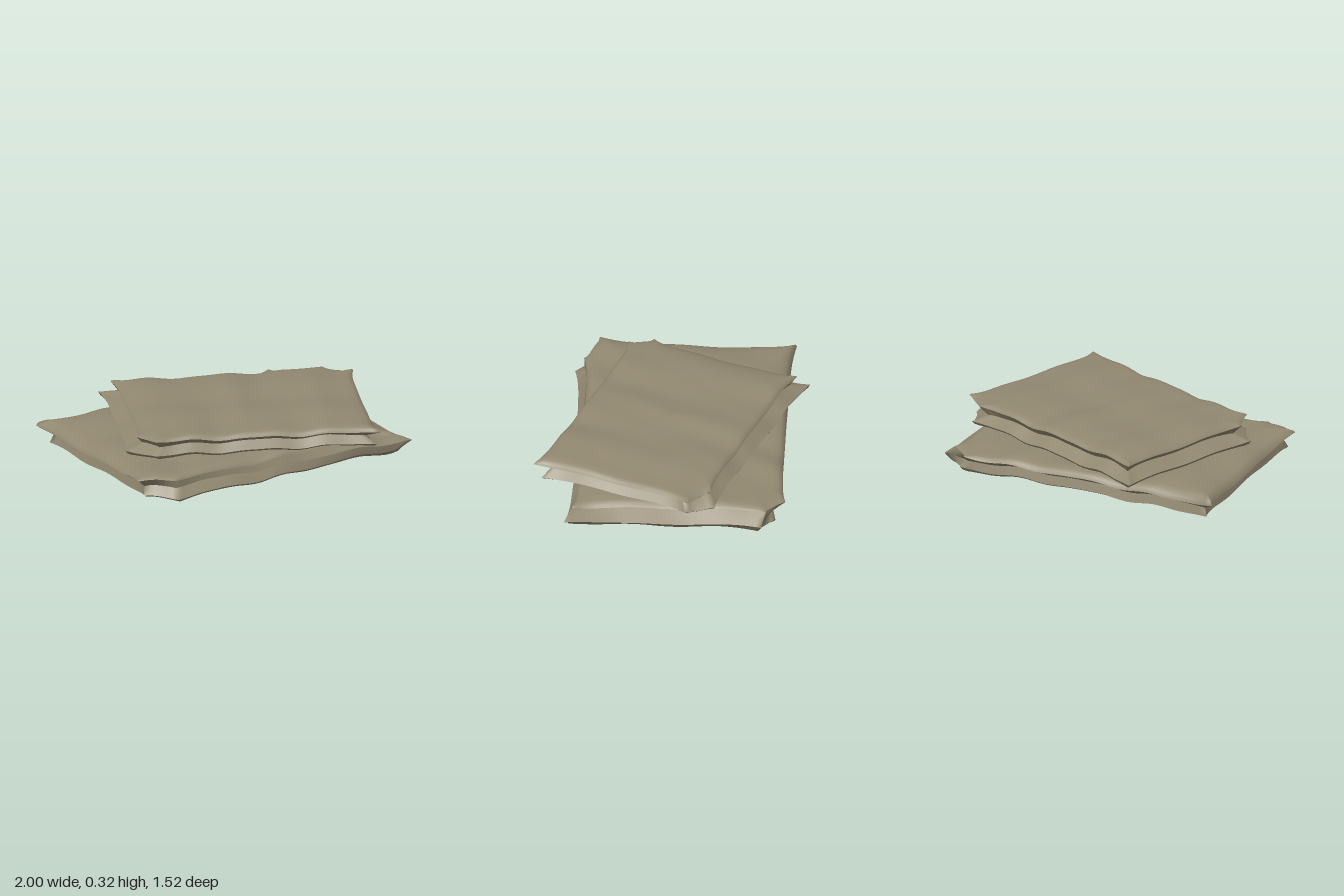
import * as THREE from 'three';

const cloth = new THREE.MeshStandardMaterial({ color: 0x928871 });
cloth.name = 'khaki cloth';

// gentle ripples shared by every layer of a blanket
const ripple = (x, z, phase) =>
  0.007 * Math.cos(14 * x + 2 * z + phase) + 0.004 * Math.sin(13 * z - 4 * x + phase) + 0.003 * Math.sin(23 * x + 9 * z);

// closed outline through six corners [x, y, z], clockwise from above;
// long edges are drawn in and sag a little between their flared corners
function outline(corners, sag, drop) {
  const pts = [];
  corners.forEach((a, i) => {
    const b = corners[(i + 1) % corners.length];
    const dx = b[0] - a[0], dz = b[2] - a[2], len = Math.hypot(dx, dz);
    const long = len > 0.4, n = long ? 36 : 6;
    for (let k = 0; k < n; k++) {
      const t = k / n, bow = (long ? 1 : 0.4) * (1 - Math.abs(2 * t - 1) ** 7);
      pts.push(new THREE.Vector3(
        a[0] + dx * t - (dz / len) * sag * bow,
        a[1] + (b[1] - a[1]) * t - drop * bow,
        a[2] + dz * t + (dx / len) * sag * bow));
    }
  });
  return pts;
}

// shrink an outline towards the middle; y blends to a flat level
function inset(ring, scale, level, blend = 1) {
  const c = ring.reduce((s, p) => s.add(p), new THREE.Vector3()).divideScalar(ring.length);
  return ring.map(p => new THREE.Vector3(
    c.x + (p.x - c.x) * scale, p.y + (level - p.y) * blend, c.z + (p.z - c.z) * scale));
}

const midRing = (a, b) => a.map((p, i) => p.clone().lerp(b[i], 0.5));

// smooth skin through rings listed from the top down
function panel(name, rings, phase) {
  const n = rings[0].length, pos = [], index = [];
  for (const ring of rings)
    for (const p of ring) pos.push(p.x, Math.max(0.001, p.y + ripple(p.x, p.z, phase)), p.z);
  for (let r = 0; r < rings.length - 1; r++)
    for (let j = 0; j < n; j++) {
      const k = (j + 1) % n, a = r * n + j, b = r * n + k, c = a + n, d = b + n;
      index.push(a, d, c, a, b, d);
    }
  const g = new THREE.BufferGeometry();
  g.setAttribute('position', new THREE.Float32BufferAttribute(pos, 3));
  g.setIndex(index);
  g.computeVertexNormals();
  const mesh = new THREE.Mesh(g, cloth);
  mesh.name = name;
  return mesh;
}

const steps = [0, 0.1, 0.2, 0.3, 0.4, 0.5, 0.6, 0.7, 0.8];

// folded cloth: top sheet, pleated sides, bottom sheet
function foldedBlanket(name, o) {
  const group = new THREE.Group();
  group.name = name;
  const top = outline(o.top, o.sag, 0.012), fold = outline(o.fold, o.sag, 0), bottom = outline(o.bottom, o.sag, 0.008);
  const sheet = (ring, level) => [
    ...steps.map(s => inset(ring, s, level)),
    inset(ring, 0.89, level, 0.95), inset(ring, 0.95, level, 0.8), inset(ring, 0.985, level, 0.45), ring];
  group.add(
    panel('topSheet', sheet(top, o.topY), o.phase),
    panel('upperPleat', [top, midRing(top, fold), fold], o.phase),
    panel('lowerPleat', [fold, midRing(fold, bottom), bottom], o.phase),
    panel('bottomSheet', sheet(bottom, o.bottomY).reverse(), o.phase),
  );
  return group;
}

export function createModel() {
  const model = new THREE.Group();
  model.name = 'foldedBlankets';

  // corners: back left, back right (two), front right, front left (two), as seen from above
  // the fold line is a groove at the back and left, and a ridge towards the front right
  model.add(foldedBlanket('lowerBlanket', {
    topY: 0.168, bottomY: 0.014, sag: 0.028, phase: 3.1,
    top: [[-1, 0.115, -0.53], [0.62, 0.15, -0.76], [0.75, 0.152, -0.66], [0.9, 0.145, 0.49], [-0.62, 0.145, 0.695], [-0.835, 0.147, 0.64]],
    fold: [[-0.91, 0.07, -0.47], [0.64, 0.097, -0.69], [0.83, 0.085, -0.65], [1, 0.09, 0.52], [-0.61, 0.097, 0.69], [-0.78, 0.09, 0.6]],
    bottom: [[-0.93, 0.018, -0.48], [0.68, 0.052, -0.71], [0.8, 0.045, -0.63], [0.93, 0.05, 0.51], [-0.62, 0.045, 0.75], [-0.79, 0.04, 0.63]],
  }));

  model.add(foldedBlanket('upperBlanket', {
    topY: 0.312, bottomY: 0.17, sag: 0.025, phase: -1.2,
    top: [[-0.47, 0.297, -0.63], [0.79, 0.295, -0.335], [0.935, 0.288, -0.22], [0.69, 0.285, 0.76], [-0.63, 0.295, 0.425], [-0.69, 0.297, 0.28]],
    fold: [[-0.44, 0.248, -0.59], [0.74, 0.243, -0.315], [0.85, 0.24, -0.19], [0.63, 0.238, 0.66], [-0.585, 0.243, 0.375], [-0.645, 0.248, 0.25]],
    bottom: [[-0.52, 0.21, -0.7], [0.82, 0.202, -0.365], [0.89, 0.192, -0.21], [0.69, 0.194, 0.71], [-0.63, 0.205, 0.42], [-0.76, 0.21, 0.27]],
  }));

  return model;
}
